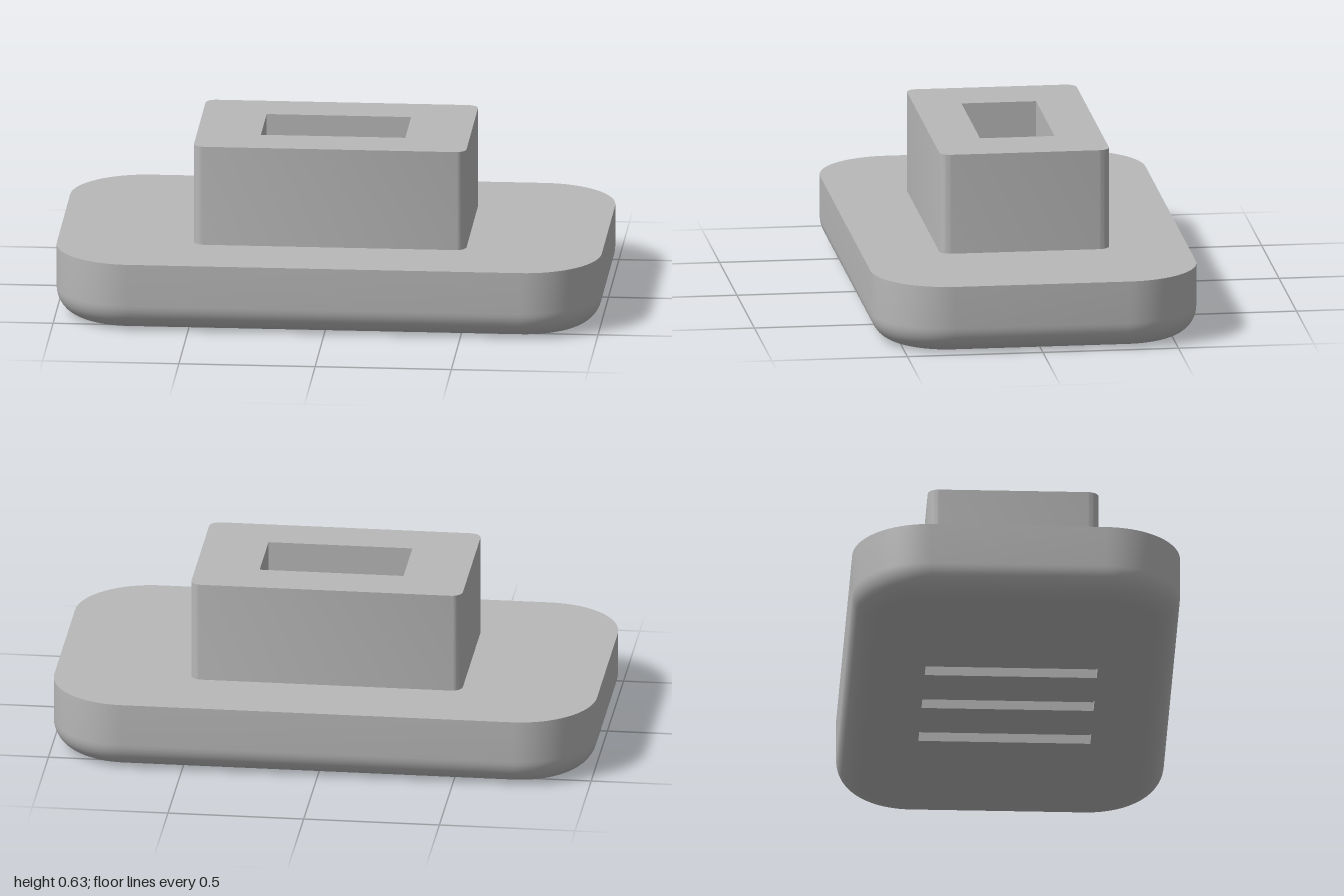
import * as THREE from 'three';
import { toCreasedNormals } from 'three/addons/utils/BufferGeometryUtils.js';

const BASE_H = 0.257, TOP = 0.63, FILLET = 0.1;
const SLOT = { w: 0.085, l: 0.63, depth: 0.035, pitch: 0.285 };

// Outline of a rounded rectangle, counter-clockwise
function roundedRect(w, d, r, steps) {
  const pts = [];
  const corners = [[1, 1], [-1, 1], [-1, -1], [1, -1]];
  corners.forEach(([sx, sy], q) => {
    for (let i = 0; i <= steps; i++) {
      const a = (q + i / steps) * Math.PI / 2;
      pts.push(new THREE.Vector2(
        sx * (w / 2 - r) + r * Math.cos(a),
        sy * (d / 2 - r) + r * Math.sin(a)));
    }
  });
  return pts;
}

function rectPath(cx, w, d) {
  return new THREE.Path([[-1, -1], [-1, 1], [1, 1], [1, -1]].map(
    ([x, y]) => new THREE.Vector2(cx + x * w / 2, y * d / 2)));
}

const baseOutline = (inset) => roundedRect(2 - 2 * inset, 1.2 - 2 * inset, 0.28 - inset, 16);

// Side wall of the base with a rounded lower edge
function baseWall() {
  const pos = [], idx = [], steps = 12;
  const profile = [];
  for (let i = 0; i <= steps; i++) {
    const a = i / steps * Math.PI / 2;
    profile.push([FILLET * (1 - Math.sin(a)), FILLET * (1 - Math.cos(a))]);
  }
  profile.push([0, BASE_H]);
  let n = 0;
  for (const [inset, y] of profile) {
    const ring = baseOutline(inset);
    n = ring.length;
    ring.forEach((p) => pos.push(p.x, y, p.y));
  }
  for (let j = 0; j < profile.length - 1; j++) {
    for (let i = 0; i < n; i++) {
      const a = j * n + i, b = j * n + (i + 1) % n;
      idx.push(a, a + n, b, b, a + n, b + n);
    }
  }
  const g = new THREE.BufferGeometry();
  g.setAttribute('position', new THREE.Float32BufferAttribute(pos, 3));
  g.setIndex(idx);
  return toCreasedNormals(g, 0.6);
}

// Inward-facing box without its lower face
function recess(w, h, d) {
  const g = new THREE.BoxGeometry(w, h, d);
  const idx = Array.from(g.index.array);
  idx.splice(18, 6);
  g.setIndex(idx.reverse());
  const nor = g.attributes.normal;
  for (let i = 0; i < nor.array.length; i++) nor.array[i] *= -1;
  return g;
}

export function createModel() {
  const grey = new THREE.MeshStandardMaterial({ color: 0xb8b8b8 });
  grey.name = 'grey';
  const model = new THREE.Group();
  model.name = 'plug';
  const add = (name, geometry, x = 0, y = 0, z = 0) => {
    const mesh = new THREE.Mesh(geometry, grey);
    mesh.name = name;
    mesh.position.set(x, y, z);
    model.add(mesh);
  };

  // Base; its top also forms the pocket floor
  add('baseWall', baseWall());
  add('baseTop', new THREE.ShapeGeometry(new THREE.Shape(baseOutline(0))).rotateX(-Math.PI / 2), 0, BASE_H);

  // Underside with three grip slots
  const under = new THREE.Shape(baseOutline(FILLET));
  for (const k of [-1, 0, 1]) {
    under.holes.push(rectPath(k * SLOT.pitch, SLOT.w, SLOT.l));
    add('gripSlot', recess(SLOT.w, SLOT.depth, SLOT.l), k * SLOT.pitch, SLOT.depth / 2);
  }
  add('baseUnderside', new THREE.ShapeGeometry(under).rotateX(Math.PI / 2));

  // Raised block with a rectangular pocket
  const block = new THREE.Shape(roundedRect(1, 0.626, 0.04, 8));
  block.holes.push(rectPath(0, 0.53, 0.275));
  const blockGeo = new THREE.ExtrudeGeometry(block, { depth: TOP - BASE_H, bevelEnabled: false });
  add('connectorBlock', toCreasedNormals(blockGeo.rotateX(-Math.PI / 2), 0.6), 0, BASE_H);

  return model;
}
